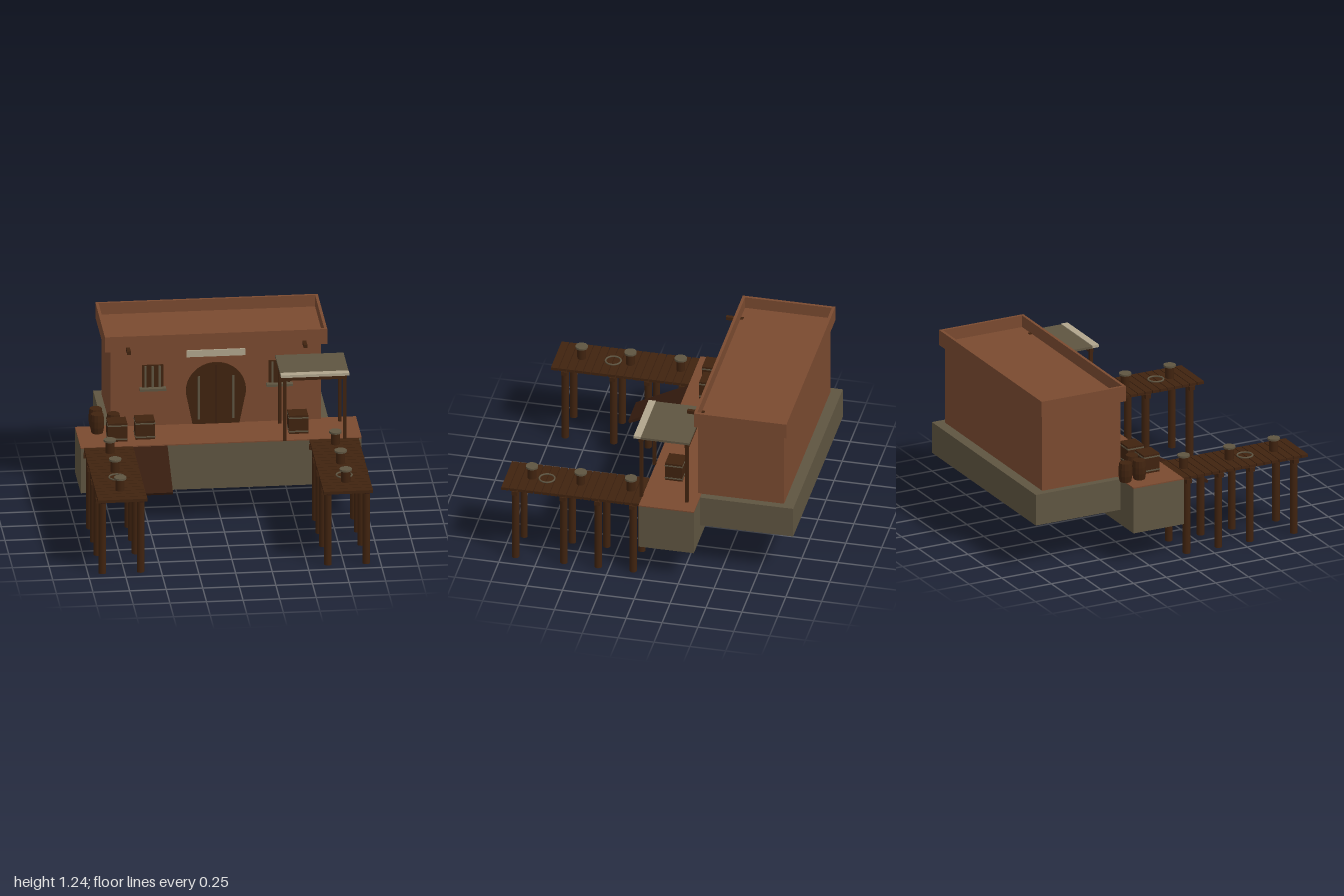
import * as THREE from 'three';

const mat = (name, color) => {
  const m = new THREE.MeshStandardMaterial({ color });
  m.name = name;
  return m;
};

export function createModel() {
  const clay = mat('clay', 0x7a4a30);
  const stone = mat('stone', 0x5f5541);
  const wood = mat('wood', 0x40230f);
  const rampWood = mat('ramp wood', 0x361c0f);
  const plaster = mat('pale plaster', 0xb0a58c);
  const root = new THREE.Group();
  root.name = 'harbourHouse';

  const add = (parent, name, geo, m, x = 0, y = 0, z = 0) => {
    const mesh = new THREE.Mesh(geo, m);
    mesh.name = name;
    mesh.position.set(x, y, z);
    parent.add(mesh);
    return mesh;
  };
  // Box given by its limits on each axis
  const box = (parent, name, m, x0, x1, y0, y1, z0, z1) =>
    add(parent, name, new THREE.BoxGeometry(x1 - x0, y1 - y0, z1 - z0), m,
      (x0 + x1) / 2, (y0 + y1) / 2, (z0 + z1) / 2);
  // Upright cylinder standing on y0
  const post = (parent, name, m, r, x, z, y0, y1, sides = 12) =>
    add(parent, name, new THREE.CylinderGeometry(r, r, y1 - y0, sides), m, x, (y0 + y1) / 2, z);
  const group = (name) => {
    const g = new THREE.Group();
    g.name = name;
    root.add(g);
    return g;
  };

  // Quay and foundation
  box(root, 'quay', stone, -0.96, 0.96, 0.237, 0.562, -0.35, 0.035);
  box(root, 'quayPaving', clay, -0.96, 0.96, 0.562, 0.57, -0.35, 0.035);
  box(root, 'foundation', stone, -0.77, 0.77, 0.345, 0.568, -1, -0.345);

  // House with a flat roof behind a parapet
  const house = group('house');
  box(house, 'walls', clay, -0.72, 0.72, 0.568, 1.15, -0.925, -0.325);
  const rect = (C, x0, x1, y0, y1) => {
    const s = new C();
    s.moveTo(x0, y0);
    s.lineTo(x1, y0);
    s.lineTo(x1, y1);
    s.lineTo(x0, y1);
    s.closePath();
    return s;
  };
  const rim = rect(THREE.Shape, -0.76, 0.76, 0.305, 0.95);
  rim.holes.push(rect(THREE.Path, -0.74, 0.74, 0.325, 0.93));
  const parapet = new THREE.ExtrudeGeometry(rim, { depth: 0.11, bevelEnabled: false });
  parapet.rotateX(-Math.PI / 2);
  add(house, 'parapet', parapet, clay, 0, 1.125, 0);
  box(house, 'roof', clay, -0.745, 0.745, 1.126, 1.151, -0.935, -0.32);
  box(house, 'signBoard', plaster, -0.2, 0.2, 1.062, 1.11, -0.325, -0.315);

  // Horseshoe-arched door with metal straps
  const arch = new THREE.Shape();
  arch.moveTo(-0.16, 0.57);
  arch.lineTo(0.16, 0.57);
  arch.lineTo(0.196, 0.75);
  arch.absarc(0, 0.812, 0.205, -0.3, Math.PI + 0.3, false);
  arch.closePath();
  const doorGeo = new THREE.ExtrudeGeometry(arch, { depth: 0.009, bevelEnabled: false, curveSegments: 20 });
  add(house, 'door', doorGeo, wood, 0, 0, -0.325);
  box(house, 'doorSeam', rampWood, -0.004, 0.004, 0.575, 1.0, -0.318, -0.313);

  for (const s of [-1, 1]) {
    box(house, 'doorStrap', stone, s * 0.118 - 0.007, s * 0.118 + 0.007, 0.605, 0.92, -0.318, -0.311);
    box(house, 'roofBeam', wood, s * 0.603 - 0.013, s * 0.603 + 0.013, 1.133, 1.156, -0.345, -0.225);
    // Barred window
    const c = s * 0.433;
    box(house, 'windowOpening', wood, c - 0.073, c + 0.073, 0.85, 1.015, -0.325, -0.317);
    for (const d of [-0.048, 0, 0.048])
      box(house, 'windowBar', stone, c + d - 0.007, c + d + 0.007, 0.855, 1.008, -0.32, -0.309);
    box(house, 'windowSill', stone, c - 0.09, c + 0.09, 0.836, 0.853, -0.325, -0.28);
  }

  // Awning on four posts
  const awning = group('awning');
  for (const z of [0.042, -0.276]) {
    for (const x of [0.432, 0.842])
      box(awning, 'awningPost', wood, x - 0.011, x + 0.011, 0.57, 1.03, z - 0.011, z + 0.011);
    box(awning, 'awningBeam', wood, 0.418, 0.856, 1.012, 1.045, z - 0.015, z + 0.015);
  }
  box(awning, 'awningRoof', stone, 0.403, 0.87, 1.045, 1.061, -0.298, 0.04);
  box(awning, 'awningFrontStrip', plaster, 0.403, 0.87, 1.047, 1.066, 0.04, 0.09);

  // Crates with bands, and barrels
  for (const [x, z] of [[-0.699, -0.11], [-0.508, -0.133], [0.54, -0.13]]) {
    const crate = group('crate');
    box(crate, 'crateBody', wood, x - 0.066, x + 0.066, 0.57, 0.703, z - 0.06, z + 0.06);
    for (const y of [0.588, 0.685])
      box(crate, 'crateBand', stone, x - 0.068, x + 0.068, y - 0.005, y + 0.005, z - 0.062, z + 0.062);
  }
  const barrelProfile = [[0, 0], [0.04, 0], [0.048, 0.045], [0.048, 0.09], [0.042, 0.135], [0, 0.135]]
    .map(([r, y]) => new THREE.Vector2(r, y));
  for (const [x, z] of [[-0.82, -0.34], [-0.82, -0.235], [-0.71, -0.235]]) {
    const b = new THREE.LatheGeometry(barrelProfile, 12).toNonIndexed();
    b.computeVertexNormals();
    add(root, 'barrel', b, wood, x, 0.57, z);
  }

  // Two plank piers
  for (const s of [-1, 1]) {
    const pier = group(s < 0 ? 'rightPier' : 'leftPier');
    const c = s * 0.771;
    const planks = 17, step = 0.965 / planks;
    for (let i = 0; i < planks; i++) {
      const z = 0.035 + i * step;
      box(pier, 'plank', wood, c - 0.168, c + 0.168, 0.548, 0.568, z + 0.003, z + step - 0.003);
    }
    for (const x of [-0.131, 0.131])
      box(pier, 'stringer', rampWood, c + x - 0.012, c + x + 0.012, 0.54, 0.55, 0.035, 0.995);
    for (const z of [0.085, 0.328, 0.568, 0.905]) {
      box(pier, 'crossBeam', wood, c - 0.175, c + 0.175, 0.518, 0.547, z - 0.02, z + 0.02);
      for (const x of [-0.131, 0.131]) post(pier, 'pile', wood, 0.026, c + x, z, 0, 0.54);
    }
    // Bollards and a coil of rope
    for (const z of [0.13, 0.48, 0.82]) {
      post(pier, 'bollard', wood, 0.031, c, z, 0.566, 0.65);
      post(pier, 'bollardCap', stone, 0.043, c, z, 0.65, 0.663);
    }
    const rope = new THREE.TorusGeometry(0.053, 0.006, 6, 24).rotateX(Math.PI / 2);
    add(pier, 'ropeCoil', rope, stone, c, 0.575, s < 0 ? 0.6 : 0.715);
  }

  // Loading ramp sloping down from the quay
  const ramp = add(root, 'ramp', new THREE.BoxGeometry(0.24, 0.02, 0.42), rampWood, -0.487, 0.456, 0.215);
  ramp.rotation.x = Math.atan2(0.195, 0.37);

  return root;
}
